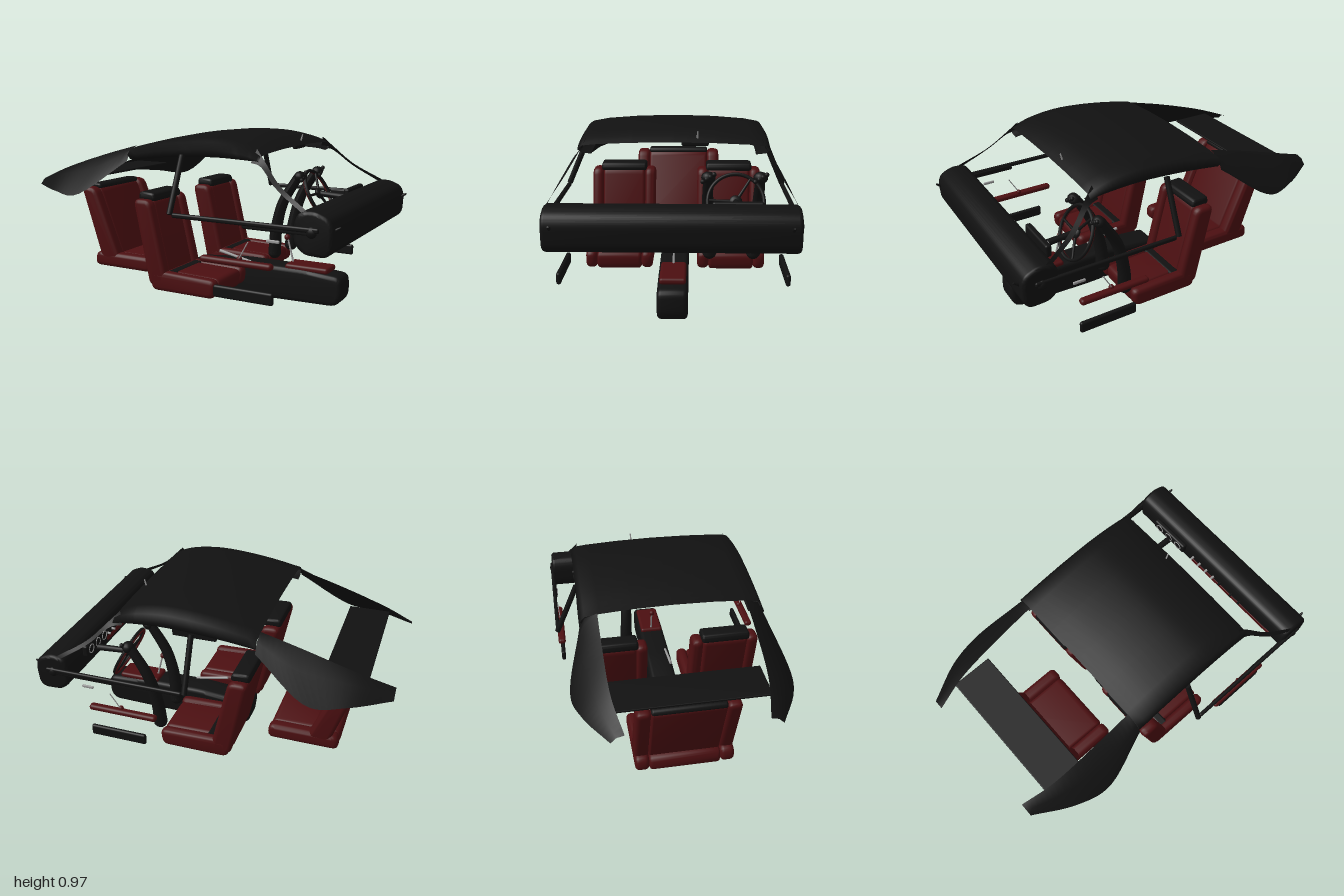
import * as THREE from 'three';
import { toCreasedNormals } from 'three/addons/utils/BufferGeometryUtils.js';
import { RoundedBoxGeometry } from 'three/addons/geometries/RoundedBoxGeometry.js';

const V = (p) => new THREE.Vector3(...p);

export function createModel() {
  const model = new THREE.Group();
  const mat = (name, color) => Object.assign(new THREE.MeshStandardMaterial({ color }), { name });
  const black = mat('black trim', 0x111111);
  const red = mat('red leather', 0x4c0f11);
  const silver = mat('silver metal', 0x9a9a9a);
  black.side = THREE.DoubleSide;

  const add = (name, geo, material, parent = model) => {
    const m = new THREE.Mesh(geo, material);
    m.name = name;
    parent.add(m);
    return m;
  };

  const box = (name, size, pos, material, r = 0.01, parent = model) => {
    const m = add(name, new RoundedBoxGeometry(...size, 3, Math.min(r, Math.min(...size) * 0.49)), material, parent);
    m.position.set(...pos);
    return m;
  };

  // side profile with rounded corners, padded and extruded from z0 to z1
  const slab = (name, pts, z0, z1, material, bevel = 0.02, r = 0.03, parent = model) => {
    const s = new THREE.Shape();
    const n = pts.length;
    const P = pts.map(([x, y]) => new THREE.Vector2(x, y));
    for (let i = 0; i < n; i++) {
      const c = P[i], a = P[(i + n - 1) % n], b = P[(i + 1) % n];
      const toward = (q) => c.clone().lerp(q, Math.min(0.45, r / c.distanceTo(q)));
      const s0 = toward(a), s1 = toward(b);
      if (i === 0) s.moveTo(s0.x, s0.y); else s.lineTo(s0.x, s0.y);
      s.quadraticCurveTo(c.x, c.y, s1.x, s1.y);
    }
    s.closePath();
    const g = new THREE.ExtrudeGeometry(s, {
      depth: z1 - z0 - 2 * bevel, bevelThickness: bevel, bevelSize: bevel, bevelOffset: -bevel,
      bevelSegments: 4, curveSegments: 5,
    });
    g.translate(0, 0, z0 + bevel);
    return add(name, toCreasedNormals(g, 0.8), material, parent);
  };

  const rod = (name, a, b, r0, r1, material, parent = model) => {
    const d = V(b).sub(V(a));
    const m = add(name, new THREE.CylinderGeometry(r1, r0, d.length(), 14), material, parent);
    m.position.copy(V(a)).addScaledVector(d, 0.5);
    m.quaternion.setFromUnitVectors(new THREE.Vector3(0, 1, 0), d.normalize());
    return m;
  };

  // smooth sheet across a list of guide curves
  const loft = (name, guides, n, material) => {
    const pos = [], idx = [];
    guides.forEach((g) => {
      const c = new THREE.CatmullRomCurve3(g.map(V));
      for (let i = 0; i <= n; i++) pos.push(...c.getPoint(i / n).toArray());
    });
    for (let j = 0; j < guides.length - 1; j++) {
      for (let i = 0; i < n; i++) {
        const a = j * (n + 1) + i, b = a + n + 1;
        idx.push(a, b, a + 1, b, b + 1, a + 1);
      }
    }
    const g = new THREE.BufferGeometry();
    g.setAttribute('position', new THREE.Float32BufferAttribute(pos, 3));
    g.setIndex(idx);
    g.computeVertexNormals();
    return add(name, g, material);
  };

  // roof lining: crowned sheet with rolled side edges
  const stations = [[-0.28, 0.9, 0.81], [-0.1, 0.94, 0.83], [0.1, 0.967, 0.845], [0.25, 0.972, 0.85],
    [0.4, 0.95, 0.845], [0.48, 0.92, 0.84], [0.53, 0.892, 0.83]];
  const half = [[0.43, 1], [0.48, 0.9], [0.505, 0.62], [0.48, 0.3], [0.4, 0.17], [0.22, 0.05]];
  const section = [...half, [0, 0], ...half.slice().reverse().map(([z, d]) => [-z, d])];
  loft('roofLining', section.map(([z, d]) => stations.map(([x, t, b]) => [x, t + (b - t) * d, z])), 24, black);

  for (const s of [1, -1]) {
    // rear quarter panel
    loft('rearQuarterPanel', [
      [[-1, 0.66, 0.36], [-0.8, 0.735, 0.4], [-0.5, 0.83, 0.41], [-0.28, 0.89, 0.41]],
      [[-1, 0.65, 0.4], [-0.8, 0.7, 0.47], [-0.5, 0.76, 0.515], [-0.28, 0.865, 0.48]],
      [[-1, 0.62, 0.43], [-0.78, 0.61, 0.55], [-0.59, 0.605, 0.595], [-0.28, 0.81, 0.51]],
    ].map((g) => g.map(([x, y, z]) => [x, y, z * s])), 20, black);
    // windscreen pillar
    loft('windscreenPillar', [
      [[0.5, 0.91, 0.46], [0.56, 0.85, 0.49], [0.67, 0.745, 0.55], [0.84, 0.645, 0.615]],
      [[0.48, 0.84, 0.49], [0.54, 0.83, 0.51], [0.66, 0.73, 0.57], [0.84, 0.62, 0.625]],
    ].map((g) => g.map(([x, y, z]) => [x, y, z * s])), 16, black);

    // door frame, armrest, pocket and handles
    rod('doorPost', [0.075, 0.86, 0.5 * s], [0.075, 0.56, 0.63 * s], 0.016, 0.016, black);
    box('doorRail', [0.82, 0.026, 0.022], [0.5, 0.557, 0.628 * s], black);
    box('doorRailPad', [0.36, 0.035, 0.02], [0.68, 0.545, 0.622 * s], black);
    box('armrest', [0.41, 0.034, 0.045], [0.46, 0.345, 0.61 * s], red, 0.016);
    const knob = add('armrestKnob', new THREE.SphereGeometry(0.015, 14, 10), red);
    knob.position.set(0.475, 0.363, 0.6 * s);
    rod('pullRod', [0.475, 0.365, 0.607 * s], [0.53, 0.46, 0.615 * s], 0.003, 0.003, silver);
    box('doorPocket', [0.34, 0.065, 0.026], [0.5, 0.18, 0.608 * s], black, 0.012);
    box('doorHandle', [0.07, 0.016, 0.012], [0.665, 0.477, 0.612 * s], silver, 0.005);
    const cap = add('dashEndCap', new THREE.SphereGeometry(0.03, 14, 10), black);
    cap.position.set(0.87, 0.545, 0.62 * s);
    cap.scale.z = 0.8;
    rod('dashTip', [0.96, 0.55, 0.58 * s], [1, 0.575, 0.58 * s], 0.012, 0.005, black);
  }
  box('parcelShelf', [0.24, 0.012, 0.82], [-0.74, 0.685, 0], black, 0.004);

  // seats: padded centre between side bolsters
  const seat = (name, z, w, bw, cushion, back) => {
    const g = new THREE.Group();
    g.name = name;
    g.position.z = z;
    model.add(g);
    const inset = (pts, dx, dy) => pts.map(([x, y], i) => (i === 1 || i === 2 ? [x + dx, y + dy] : [x, y]));
    slab('seatCushion', cushion, -w + bw, w - bw, red, 0.02, 0.04, g);
    slab('seatBack', inset(back, -0.015, 0), -w + bw, w - bw, red, 0.02, 0.04, g);
    for (const s of [1, -1]) {
      const c = s * (w - bw / 2);
      slab('cushionBolster', inset(cushion, 0.005, 0).map(([x, y]) => [x, y + 0.006]), c - bw / 2, c + bw / 2, red, 0.025, 0.04, g);
      slab('backBolster', back, c - bw / 2, c + bw / 2, red, 0.025, 0.04, g);
    }
    return g;
  };
  for (const s of [1, -1]) {
    const g = seat('frontSeat', 0.325 * s, 0.195, 0.065,
      [[-0.13, 0.085], [0.27, 0.085], [0.28, 0.19], [-0.13, 0.2]],
      [[-0.14, 0.11], [-0.02, 0.14], [-0.13, 0.6], [-0.245, 0.6]]);
    slab('seatTopCap', [[-0.243, 0.585], [-0.127, 0.585], [-0.137, 0.632], [-0.237, 0.636]], -0.14, 0.14, black, 0.015, 0.02, g);
    box('seatHinge', [0.06, 0.05, 0.33], [-0.02, 0.175, 0], black, 0.015, g);
  }
  const rear = seat('rearSeat', 0, 0.28, 0.08,
    [[-0.72, 0.1], [-0.3, 0.1], [-0.305, 0.19], [-0.71, 0.19]],
    [[-0.66, 0.14], [-0.53, 0.16], [-0.71, 0.595], [-0.815, 0.6]]);
  slab('rearSeatTopCap', [[-0.81, 0.58], [-0.715, 0.58], [-0.725, 0.612], [-0.8, 0.612]], -0.2, 0.2, black, 0.012, 0.02, rear);

  // centre console, shifter and handbrake
  slab('console', [[-0.14, 0.17], [-0.12, 0.02], [0.3, 0.0], [0.8, 0.01], [0.835, 0.06], [0.83, 0.18], [0.6, 0.2], [0.2, 0.2]],
    -0.08, 0.08, black, 0.025, 0.04);
  box('consoleTop', [0.26, 0.035, 0.14], [0.62, 0.202, 0], red, 0.015);
  rod('shifter', [0.52, 0.2, 0], [0.48, 0.35, 0], 0.006, 0.005, silver);
  add('shifterKnob', new THREE.SphereGeometry(0.017, 16, 12), red).position.set(0.475, 0.36, 0);
  rod('handbrake', [0.27, 0.2, 0.055], [0.06, 0.243, 0.055], 0.007, 0.009, silver);

  // dashboard
  slab('dashboard', [[0.775, 0.59], [0.8, 0.64], [0.88, 0.65], [0.955, 0.62], [0.978, 0.57], [0.972, 0.46],
    [0.94, 0.425], [0.83, 0.43], [0.775, 0.48]], -0.628, 0.628, black, 0.02, 0.03);
  box('dashTrim', [0.008, 0.03, 0.7], [0.775, 0.515, 0.2], red, 0.003);
  box('instrumentCluster', [0.035, 0.07, 0.26], [0.752, 0.6, -0.33], black, 0.012);
  for (const z of [-0.41, -0.33, -0.25]) {
    const ring = add('gaugeRing', new THREE.TorusGeometry(0.026, 0.003, 8, 24), silver);
    ring.position.set(0.734, 0.6, z);
    ring.rotation.y = Math.PI / 2;
  }
  for (const z of [-0.14, -0.08, -0.02, 0.04, 0.1, 0.2, 0.27]) {
    rod('dashKnob', [0.78, 0.55, z], [0.753, 0.55, z], 0.008, 0.007, z < 0.05 ? silver : black);
  }

  // steering wheel
  const wheel = new THREE.Group();
  wheel.name = 'steeringWheel';
  wheel.position.set(0.535, 0.575, -0.33);
  wheel.quaternion.setFromUnitVectors(new THREE.Vector3(0, 0, 1), new THREE.Vector3(-0.89, -0.46, 0).normalize());
  model.add(wheel);
  add('wheelRim', new THREE.TorusGeometry(0.15, 0.01, 10, 48), black, wheel);
  add('wheelGrip', new THREE.TorusGeometry(0.149, 0.0085, 10, 48), red, wheel).position.z = 0.006;
  add('wheelHub', new THREE.SphereGeometry(0.035, 16, 12), black, wheel).scale.z = 0.5;
  for (let i = 0; i < 3; i++) {
    const a = Math.PI / 6 + (i * Math.PI * 2) / 3;
    rod('wheelSpoke', [0, 0, 0], [0.148 * Math.cos(a), 0.148 * Math.sin(a), 0], 0.009, 0.007, black, wheel);
  }
  rod('steeringColumn', [0.54, 0.575, -0.33], [0.8, 0.56, -0.33], 0.017, 0.02, black);

  // curved tapering sleeves rising to the wheel, ending in grips
  for (const [z0, z1] of [[-0.2, -0.185], [-0.45, -0.465]]) {
    const path = new THREE.CatmullRomCurve3([[0.305, 0.2, z0], [0.315, 0.34, z0 + (z1 - z0) * 0.4],
      [0.36, 0.52, z1], [0.455, 0.685, z1]].map(V));
    const g = new THREE.TubeGeometry(path, 20, 1, 14);
    const p = g.attributes.position, v = new THREE.Vector3();
    for (let i = 0; i < p.count; i++) {
      const t = Math.floor(i / 15) / 20, c = path.getPointAt(t);
      v.fromBufferAttribute(p, i).sub(c).multiplyScalar(0.04 - 0.013 * t).add(c);
      p.setXYZ(i, v.x, v.y, v.z);
    }
    g.computeVertexNormals();
    add('sleeve', g, black);
    add('sleeveEnd', new THREE.SphereGeometry(0.04, 14, 10), black).position.set(0.305, 0.21, z0);
    const grip = add('grip', new THREE.SphereGeometry(0.036, 14, 10), black);
    grip.position.set(0.468, 0.69, z1);
    grip.scale.set(0.95, 0.9, 1.1);
    for (let i = 0; i < 4; i++) {
      add('gripKnuckle', new THREE.SphereGeometry(0.013, 10, 8), black).position.set(0.492, 0.712 - i * 0.013, z1 - 0.03 + i * 0.02);
    }
  }

  // rear-view mirror
  box('mirror', [0.025, 0.04, 0.145], [0.49, 0.885, -0.112], black, 0.012);
  box('mirrorGlass', [0.006, 0.028, 0.12], [0.477, 0.885, -0.112], silver, 0.002);
  rod('mirrorStem', [0.49, 0.89, -0.125], [0.505, 0.945, -0.125], 0.005, 0.004, silver);

  return model;
}
